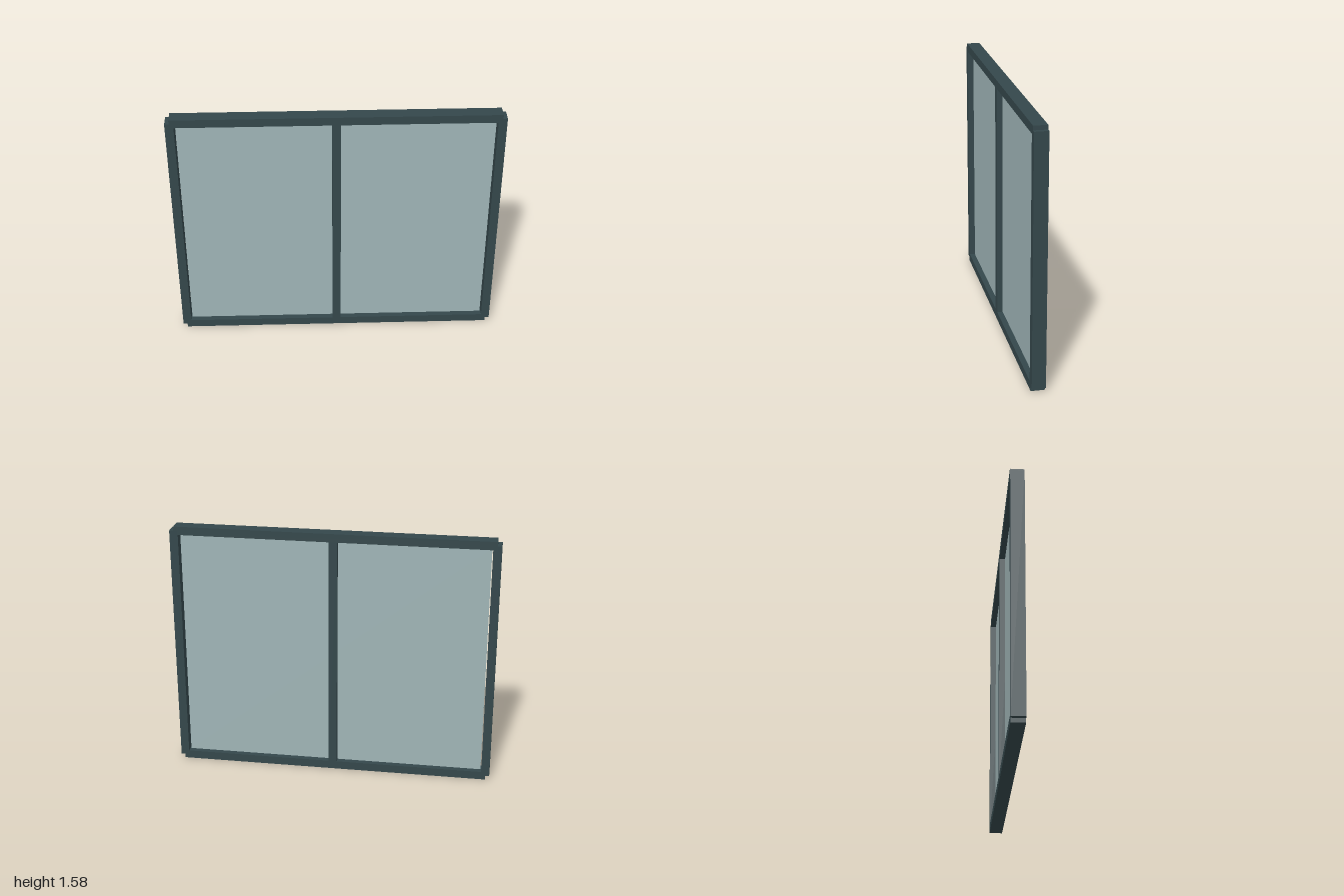
import * as THREE from 'three';

// Two-light window: bars run between frame centrelines, leaving small notched corners.
export function createModel() {
  const group = new THREE.Group();
  const HEIGHT = 1.576, BAR = 0.052, DEPTH = 0.083;
  const cx = 1 - BAR / 2;            // post centreline
  const midY = HEIGHT / 2;
  const frame = new THREE.MeshStandardMaterial({ color: 0x34474b });
  const glass = new THREE.MeshStandardMaterial({ color: 0x9fb4b6 });

  const addBox = (name, w, h, d, x, y, material) => {
    const mesh = new THREE.Mesh(new THREE.BoxGeometry(w, h, d), material);
    mesh.name = name;
    mesh.position.set(x, y, 0);
    group.add(mesh);
  };

  // Side posts
  for (const s of [-1, 1]) {
    addBox(s > 0 ? 'leftPost' : 'rightPost', BAR, HEIGHT - BAR, DEPTH, s * cx, midY, frame);
  }

  // Top and bottom rails
  addBox('bottomRail', 2 * cx, BAR, DEPTH, 0, BAR / 2, frame);
  addBox('topRail', 2 * cx, BAR, DEPTH, 0, HEIGHT - BAR / 2, frame);

  // Centre mullion
  addBox('mullion', BAR, HEIGHT - BAR, DEPTH, 0, midY, frame);

  // Glass pane, with a sliver of clearance at each post
  addBox('glassPane', 1.884, HEIGHT - 2 * BAR, 0.012, 0, midY, glass);

  return group;
}
